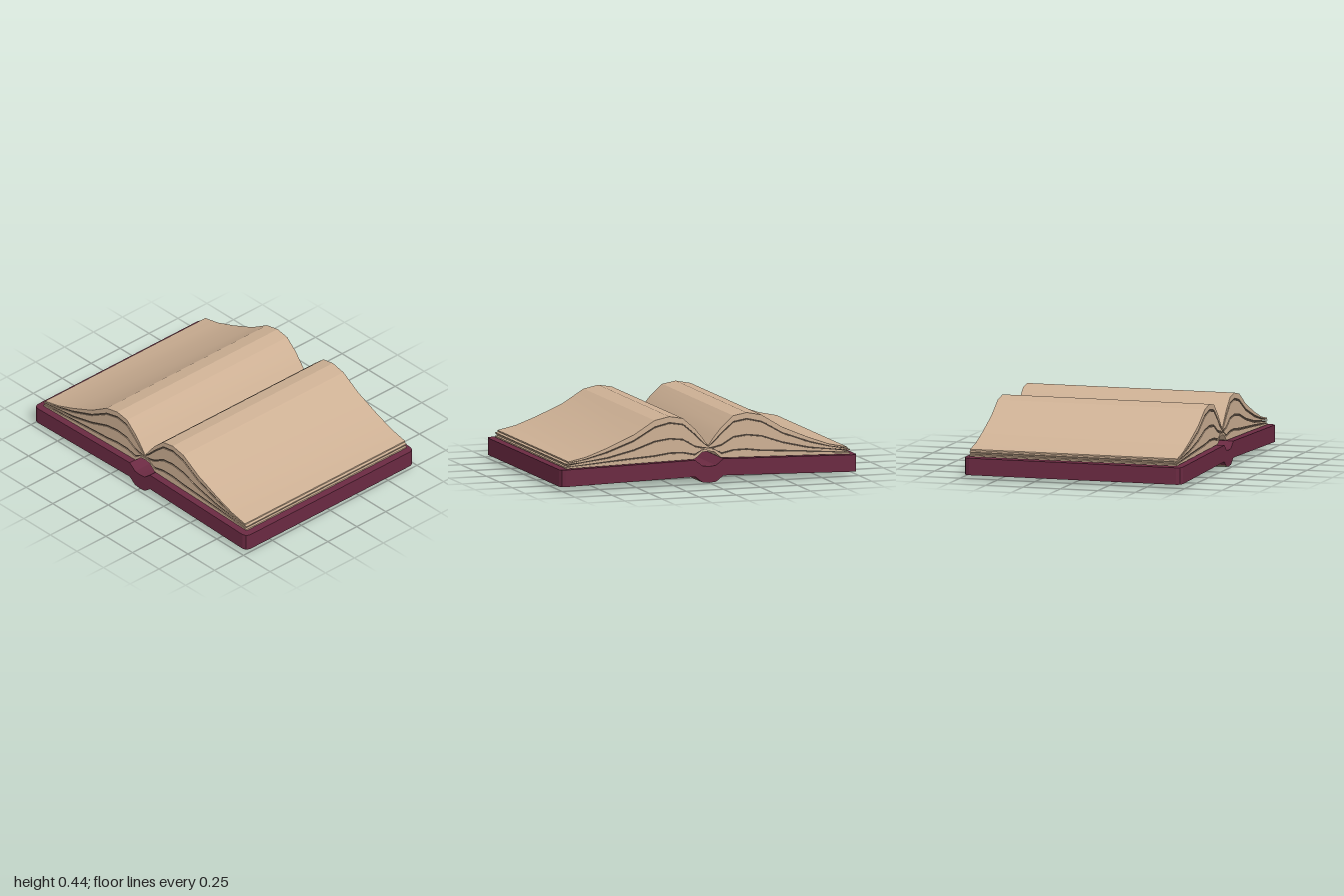
import * as THREE from 'three';
import { toCreasedNormals } from 'three/addons/utils/BufferGeometryUtils.js';

const material = (color) => new THREE.MeshStandardMaterial({ color });

// Joins rectangular sections [x, bottom, top, zBack, zFront], given in order of rising x.
// Sides: 0 top, 1 back, 2 bottom, 3 front; end caps are optional.
function loft(sections, sides = [0, 1, 2, 3], caps = true) {
  const rings = sections.map(([x, lo, hi, back, front]) => [
    [x, hi, front], [x, hi, back], [x, lo, back], [x, lo, front],
  ]);
  const pos = [];
  const quad = (a, b, c, d) => pos.push(...a, ...b, ...c, ...a, ...c, ...d);
  for (let i = 0; i < rings.length - 1; i++) {
    const p = rings[i], q = rings[i + 1];
    for (const k of sides) quad(p[k], q[k], q[(k + 1) % 4], p[(k + 1) % 4]);
  }
  if (caps) {
    const [a, b, c, d] = rings[0];
    quad(a, b, c, d);
    const [e, f, g, h] = rings[rings.length - 1];
    quad(h, g, f, e);
  }
  const geometry = new THREE.BufferGeometry();
  geometry.setAttribute('position', new THREE.Float32BufferAttribute(pos, 3));
  return toCreasedNormals(geometry, 0.35);
}

// Flips sections to the -x side, keeping x rising
const mirror = (sections) => sections.map(([x, ...rest]) => [-x, ...rest]).reverse();

export function createModel() {
  const book = new THREE.Group();
  book.name = 'openBook';
  const coverMat = material(0x6b2a42);
  const liningMat = material(0x8a775f);
  const pageMat = material(0xcdb094);
  const gapMat = material(0x4d4238);
  const add = (name, geometry, mat) => {
    const mesh = new THREE.Mesh(geometry, mat);
    mesh.name = name;
    book.add(mesh);
  };

  // Cover: two boards with rounded corners, joined by a sagging spine
  const coverHalf = [
    // x, bottom, top, half depth
    [0.045, 0.01, 0.115, 0.727],
    [0.066, 0.025, 0.132, 0.727],
    [0.095, 0.048, 0.155, 0.727],
    [0.965, 0.027, 0.136, 0.727],
    [0.99, 0.026, 0.135, 0.717],
    [1, 0.026, 0.135, 0.692],
  ].map(([x, lo, hi, z]) => [x, lo, hi, -z, z]);
  const cover = [...mirror(coverHalf), [0, 0.005, 0.11, -0.727, 0.727], ...coverHalf];
  add('cover', loft(cover), coverMat);

  // Lining on the underside of the boards and spine
  const lining = (sections) =>
    loft(sections.map(([x, lo, hi, b, f]) => [x, lo - 0.0015, hi, b, f]), [2], false);
  const board = coverHalf.slice(2);
  add('leftBoardLining', lining(board), liningMat);
  add('rightBoardLining', lining(mirror(board)), liningMat);
  add('spineLining', lining(cover.slice(4, 9)), liningMat);

  // Boundary curves of the page bundles, from the cover up to the open page
  const xs = [0, 0.04, 0.09, 0.17, 0.26, 0.36, 0.5, 0.68, 0.82, 0.95];
  const curves = [
    [0.206, 0.2, 0.158, 0.156, 0.154, 0.152, 0.149, 0.145, 0.142, 0.139],
    [0.218, 0.215, 0.182, 0.199, 0.2, 0.187, 0.178, 0.166, 0.156, 0.148],
    [0.226, 0.224, 0.236, 0.283, 0.293, 0.28, 0.232, 0.19, 0.175, 0.159],
    [0.233, 0.262, 0.312, 0.38, 0.395, 0.372, 0.292, 0.227, 0.193, 0.17],
    [0.24, 0.295, 0.355, 0.425, 0.441, 0.421, 0.335, 0.259, 0.209, 0.184],
  ];
  const gap = 0.011;
  const edges = [0.955, 0.945, 0.955, 0.94];

  // Section list between two curves; the outer edge and both ends can be pulled in
  const layer = (lower, upper, outer, inset, lift) =>
    xs.map((x, i) => {
      const side = i === xs.length - 1 ? outer : x;
      const dy = Math.min(lift, 0.4 * (upper[i] - lower[i]));
      return [side, lower[i] + dy, upper[i], -0.702 + inset, 0.682 - inset];
    });

  // Page bundles on each side, with a thin dark gap under every one but the lowest
  for (const [label, flip] of [['left', (s) => s], ['right', mirror]]) {
    for (let n = 0; n < 4; n++) {
      const lower = curves[n], upper = curves[n + 1];
      const pages = layer(lower, upper, edges[n], 0, n ? gap : 0);
      add(`${label}Pages${n + 1}`, loft(flip(pages)), pageMat);
      if (n) {
        const shadow = layer(lower, upper, 0.925, 0.006, 0)
          .map(([x, lo, , b, f], i) => [x, lo, pages[i][1], b, f]);
        add(`${label}PageGap${n}`, loft(flip(shadow)), gapMat);
      }
    }
  }
  return book;
}
